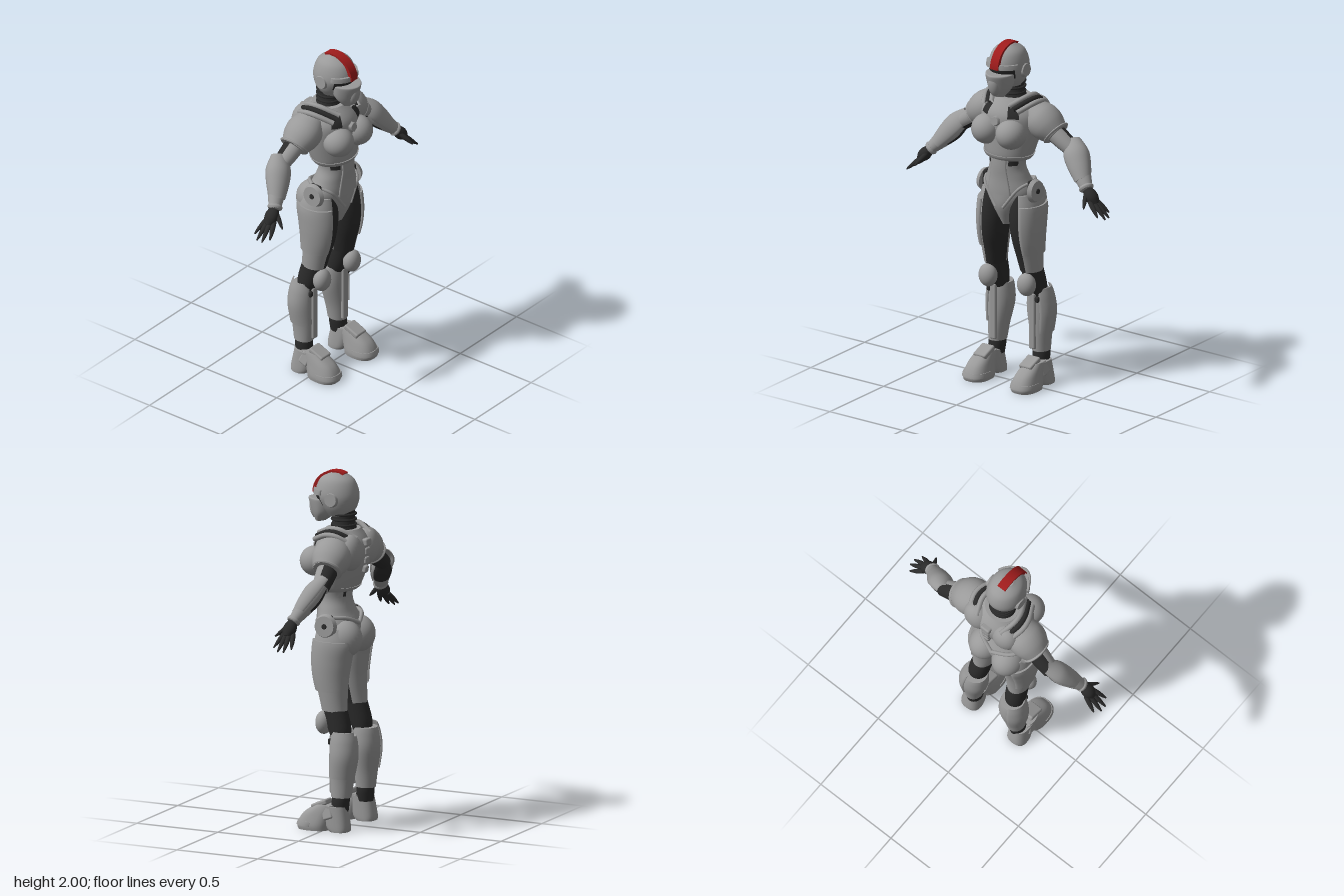
import * as THREE from 'three';
import { RoundedBoxGeometry } from 'three/addons/geometries/RoundedBoxGeometry.js';

const mat = (name, hex) => Object.assign(new THREE.MeshStandardMaterial({ color: hex }), { name });
const grey = mat('armour grey', 0x9a9a9a);
const dark = mat('undersuit black', 0x2b2b2b);
const red = mat('crest red', 0xa01c1c);
const V = (a) => new THREE.Vector3(...a);

function part(name, geometry, material, p = [0, 0, 0], rot = [0, 0, 0]) {
  const m = new THREE.Mesh(geometry, material);
  m.name = name;
  m.position.set(...p);
  m.rotation.set(...rot);
  return m;
}

// Smooth body through horizontal sections [y, zFront, zBack, halfWidth], rising.
// x: centre line as a rule of y; range and grow: cut a height band and swell it;
// arc: curved plate with thickness; paint(angle, y, angleFromFront): true is black.
function loft(name, rows, { x = () => 0, range, grow = 0, arc, paint, base = grey, pow = 1 } = {}) {
  const N = 32, H = N / 2, STEP = 6, pos = [], bins = [[], []];
  const at = (i) => rows[Math.max(0, Math.min(rows.length - 1, i))];
  let rings = [];
  for (let s = 0; s <= (rows.length - 1) * STEP; s++) {
    const i = Math.min(Math.floor(s / STEP), rows.length - 2), t = s / STEP - i;
    rings.push(at(i).map((b, k) => {
      const a = at(i - 1)[k], c = at(i + 1)[k], d = at(i + 2)[k];
      return b + 0.5 * t * (c - a + t * (2 * a - 5 * b + 4 * c - d + t * (3 * (b - c) + d - a)));
    }));
  }
  if (range) rings = rings.filter(([y]) => y > range[0] && y < range[1]);
  const angle = (j) => {
    if (!arc) return j / N * 360;
    return arc[0] + (arc[1] - arc[0]) * (j < H ? j : N - 1 - j) / (H - 1);
  };
  const bend = (v) => Math.sign(v) * Math.abs(v) ** pow;
  const addRing = ([y, zf, zb, w]) => {
    for (let j = 0; j < N; j++) {
      const a = THREE.MathUtils.degToRad(angle(j)), k = arc && j >= H ? 0.9 : 1;
      pos.push(x(y) + (w + grow) * k * bend(Math.cos(a)), y, (zf + zb) / 2 + ((zf - zb) / 2 + grow) * k * bend(Math.sin(a)));
    }
  };
  rings.forEach(addRing);
  for (let i = 0; i < rings.length - 1; i++) for (let j = 0; j < N; j++) {
    const a = i * N + j, b = i * N + (j + 1) % N, deg = angle(j + 0.5);
    const black = paint && paint(deg, rings[i][0], Math.abs((deg + 90) % 360 - 180));
    bins[black ? 1 : 0].push(a, a + N, b, b, a + N, b + N);
  }
  // end caps
  [rings[0], rings[rings.length - 1]].forEach((r, top) => {
    const o = pos.length / 3;
    addRing(r);
    for (let k = 0; k < H - 1; k++) {
      const q = [o + k, o + k + 1, o + N - 2 - k, o + N - 1 - k];
      if (top) q.reverse();
      bins[0].push(q[0], q[1], q[2], q[0], q[2], q[3]);
    }
  });
  const g = new THREE.BufferGeometry();
  g.setAttribute('position', new THREE.Float32BufferAttribute(pos, 3));
  g.setIndex(bins.flat());
  g.computeVertexNormals();
  g.addGroup(0, bins[0].length, 0);
  g.addGroup(bins[0].length, bins[1].length, 1);
  return part(name, g, paint ? [base, dark] : base);
}

// Limb from A to B with evenly spaced radii
function limb(name, A, B, radii, opts) {
  const d = V(B).sub(V(A)), len = d.length(), n = radii.length - 1;
  const m = loft(name, radii.map((r, i) => [i / n * len, r * 1.1, -r * 1.1, r]), opts);
  m.position.copy(V(A));
  m.quaternion.setFromUnitVectors(V([0, 1, 0]), d.normalize());
  return m;
}
const ball = (name, p, r, rot) => part(name, new THREE.SphereGeometry(1, 28, 20).scale(...r), grey, p, rot);
const tube = (name, pts, r, material) =>
  part(name, new THREE.TubeGeometry(new THREE.CatmullRomCurve3(pts.map(V)), 24, r, 8), material);
const box = (name, size, material, p, rot) => part(name, new RoundedBoxGeometry(...size, 3, 0.01), material, p, rot);
const disc = (name, r, h, material, p) =>
  part(name, new THREE.CylinderGeometry(r * 0.85, r, h, 32), material, p, [0, 0, -1.5]);

// Right-hand copy with baked reflection
function mirrored(m) {
  m.updateMatrix();
  const g = m.geometry.clone().applyMatrix4(m.matrix).scale(-1, 1, 1), idx = [...g.index.array];
  for (let i = 0; i < idx.length; i += 3) [idx[i], idx[i + 1]] = [idx[i + 1], idx[i]];
  g.setIndex(idx);
  return part(m.name.replace('left', 'right'), g, m.material);
}

function head(add) {
  const helmet = [[1.75, 0.06, -0.065, 0.065], [1.8, 0.1, -0.1, 0.095], [1.87, 0.136, -0.114, 0.108],
    [1.95, 0.11, -0.085, 0.085], [1.99, 0.05, -0.02, 0.035]];
  add(loft('helmet', helmet, { paint: (a, y, s) => y > 1.81 && y < 1.868 && s < 55 }));
  add(loft('brow', helmet, { range: [1.86, 1.91], grow: 0.013, arc: [25, 155] }));
  add(loft('faceMask', [[1.71, 0.142, 0.085, 0.042], [1.76, 0.163, 0.02, 0.073], [1.83, 0.184, 0, 0.084], [1.842, 0.178, 0.01, 0.078]], { pow: 1.15 }));
  add(ball('maskRidge', [0, 1.775, 0.15], [0.036, 0.062, 0.028], [0.2, 0, 0]));
  // crest arches from brow to crown
  const arch = new THREE.Shape().absellipse(0.017, 1.87, 0.136, 0.13, 0, 2, false).absellipse(0.017, 1.87, 0.1, 0.1, 2, 0, true);
  const crest = new THREE.ExtrudeGeometry(arch, { depth: 0.054, bevelEnabled: false, curveSegments: 16 });
  add(part('crest', crest.rotateY(-Math.PI / 2), red, [0.027, 0, 0]));
  add(loft('neck', [[1.63, 0.06, -0.11, 0.1], [1.72, 0.035, -0.09, 0.064], [1.8, 0.03, -0.09, 0.06]], { base: dark }));
  for (let i = 0; i < 3; i++) {
    add(part('neckRing', new THREE.TorusGeometry(0.066, 0.007, 8, 32), dark, [0, 1.7 + i * 0.03, -0.028], [Math.PI / 2, 0, 0]));
  }
}

function torso(add) {
  const waist = [[0.935, 0.06, -0.04, 0.028], [1.04, 0.105, -0.11, 0.095], [1.13, 0.112, -0.125, 0.158],
    [1.22, 0.112, -0.085, 0.128], [1.3, 0.115, -0.068, 0.105], [1.42, 0.11, -0.09, 0.13]];
  const chest = [[1.335, 0.118, -0.09, 0.134], [1.37, 0.13, -0.12, 0.15], [1.5, 0.132, -0.165, 0.178],
    [1.6, 0.128, -0.17, 0.172], [1.68, 0.07, -0.12, 0.1]];
  add(loft('waist', waist, { paint: (a, y, s) => y > 1.29 && y < 1.335 && ((s > 35 && s < 65) || (s > 145 && s < 162)) }));
  add(loft('abdomenPlate', waist, { range: [1.12, 1.37], grow: 0.006, arc: [62, 118] }));
  add(loft('chest', chest, { paint: (a, y, s) => y > 1.58 && y < 1.645 && ((s > 25 && s < 45) || (s > 125 && s < 148)) }));
  add(loft('chestRim', chest, { range: [1.33, 1.365], grow: 0.006 }));
  add(part('chestStud', new THREE.CylinderGeometry(0.026, 0.034, 0.03, 6), grey, [0, 1.565, 0.135], [1.45, 0, 0]));
  for (let i = 0; i < 4; i++) {
    add(box('spinePlate', [0.06 - i * 0.007, 0.042, 0.05], grey, [0, 1.61 - i * 0.05, -0.162 + i * 0.004], [0.1 - i * 0.1, 0, 0]));
  }
}

// Paired armour of the trunk and head
function leftTrunk(add) {
  add(disc('leftEarDisc', 0.042, 0.02, grey, [0.105, 1.85, 0]));
  add(ball('leftBreastplate', [0.084, 1.495, 0.105], [0.086, 0.085, 0.088]));
  add(ball('leftShoulderBlade', [0.1, 1.565, -0.115], [0.085, 0.105, 0.072], [0, 0, -0.2]));
  add(ball('leftButtock', [0.08, 1.07, -0.068], [0.092, 0.108, 0.107]));
  // collar bands step outward, the middle one black
  for (let i = 0; i < 3; i++) {
    const band = [[0.06, 1.65, 0.095], [0.108, 1.69, 0], [0.115, 1.69, -0.06], [0.085, 1.645, -0.15]];
    add(tube('leftCollarBand', band.map(([x, y, z]) => [x + i * 0.027, y - i * 0.013, z]), 0.015, i === 1 ? dark : grey));
  }
  add(tube('leftBeltLine', [[0.145, 1.195, 0.02], [0.115, 1.17, 0.078], [0.025, 1.05, 0.104]], 0.009, grey));
  add(tube('leftRearBelt', [[0.145, 1.195, -0.03], [0.1, 1.19, -0.085], [0, 1.15, -0.125]], 0.012, grey));
  add(box('leftHipStrap', [0.03, 0.12, 0.07], dark, [0.155, 1.15, 0]));
  add(disc('leftHipDisc', 0.068, 0.024, grey, [0.177, 1.15, 0]));
  add(disc('leftHipDiscCentre', 0.016, 0.008, dark, [0.19, 1.151, 0]));
}

function leftArm(add) {
  const shoulder = [0.12, 1.605, -0.045], padEnd = [0.275, 1.49, -0.06], elbow = [0.385, 1.41, -0.075], wrist = [0.54, 1.245, 0.017];
  add(limb('leftShoulderPad', shoulder, padEnd, [0.072, 0.097, 0.095, 0.07]));
  add(limb('leftPadRim', [0.262, 1.5, -0.06], padEnd, [0.074, 0.081, 0.074]));
  add(limb('leftUpperArm', [0.25, 1.505, -0.06], elbow, [0.055, 0.051, 0.043], { paint: (a) => a < 40 || a > 165 }));
  add(limb('leftForearm', [0.365, 1.432, -0.08], wrist, [0.036, 0.055, 0.046, 0.03], { paint: (a, y) => y < 0.16 && (a < 75 || a > 310) }));
  add(limb('leftElbowGuard', [0.355, 1.46, -0.1], [0.5, 1.28, 0], [0.04, 0.066, 0.06, 0.042], { arc: [115, 285] }));
  add(limb('leftWristCuff', [0.525, 1.26, 0.01], wrist, [0.034, 0.039, 0.034]));
  // hand with four spread fingers and a thumb
  add(limb('leftPalm', wrist, [0.605, 1.175, 0.022], [0.024, 0.034, 0.033, 0.018], { base: dark }));
  const finger = (a, b) => add(limb('leftFinger', a, b, [0.012, 0.0125, 0.01, 0.004], { base: dark }));
  for (let i = 0; i < 4; i++) {
    const mid = Math.sin(i * Math.PI / 3);
    finger([0.58 + mid * 0.01, 1.19, -0.008 + i * 0.018], [0.655 + mid * 0.03, 1.12 - mid * 0.019, -0.033 + i * 0.036]);
  }
  finger([0.545, 1.225, 0.035], [0.58, 1.165, 0.104]);
}

function leftLeg(add) {
  const x = (y) => 0.16 - y * 0.055, bootX = () => 0.164;
  const thigh = [[0.67, 0.04, -0.108, 0.059], [0.75, 0.06, -0.105, 0.07], [0.85, 0.088, -0.11, 0.082],
    [0.95, 0.1, -0.125, 0.091], [1.05, 0.095, -0.14, 0.093], [1.13, 0.08, -0.11, 0.075]];
  const shin = [[0.19, -0.03, -0.145, 0.05], [0.28, -0.026, -0.158, 0.059], [0.41, -0.026, -0.178, 0.08],
    [0.5, -0.028, -0.172, 0.074], [0.56, -0.035, -0.155, 0.06]];
  const toe = [[0, 0.16, -0.025, 0.073], [0.03, 0.165, -0.03, 0.075], [0.09, 0.13, -0.05, 0.062], [0.145, 0.05, -0.08, 0.048]];
  add(loft('leftThigh', thigh, { x, paint: (a, y) => a > 82 && a < 190 }));
  add(loft('leftThighPlate', thigh, { x, range: [0.77, 1.08], grow: 0.011, arc: [-62, 74] }));
  add(loft('leftKnee', [[0.5, -0.035, -0.13, 0.055], [0.58, 0.005, -0.132, 0.058], [0.7, 0.035, -0.1, 0.058]], { x, base: dark }));
  add(ball('leftKneecap', [0.132, 0.598, 0.028], [0.056, 0.066, 0.047]));
  add(loft('leftShin', shin, { x, range: [0.18, 0.545] }));
  add(loft('leftCalfPlate', shin, { x, range: [0.28, 0.57], grow: 0.009, arc: [-75, 60] }));
  add(box('leftShinRidge', [0.042, 0.33, 0.024], grey, [0.134, 0.37, -0.026]));
  add(box('leftShinGap', [0.026, 0.035, 0.022], dark, [0.165, 0.5, -0.026]));
  add(loft('leftAnkle', [[0.11, -0.03, -0.13, 0.045], [0.17, -0.035, -0.135, 0.05], [0.21, -0.04, -0.135, 0.046]], { x, base: dark }));
  // boot
  add(loft('leftBootToe', toe, { x: bootX, pow: 0.8 }));
  add(loft('leftToeBand', toe, { x: bootX, pow: 0.8, range: [0.02, 0.055], grow: 0.004, arc: [0, 180] }));
  add(loft('leftBootHeel', [[0, -0.035, -0.142, 0.06], [0.03, -0.01, -0.145, 0.06], [0.14, 0.02, -0.125, 0.052]], { x: bootX, pow: 0.8 }));
  add(box('leftInstepPlate', [0.085, 0.03, 0.1], grey, [0.157, 0.143, 0.03], [0.4, 0, 0]));
  add(box('leftAnkleGuard', [0.022, 0.075, 0.06], grey, [0.21, 0.105, -0.03], [0.35, 0, 0.25]));
}

export function createModel() {
  const model = new THREE.Group();
  model.name = 'armouredFigure';
  const build = (name, fill, paired) => {
    const g = new THREE.Group();
    g.name = name;
    fill((m) => {
      g.add(m);
      if (paired) {
        // rounded boxes carry no index
        if (!m.geometry.index) m.geometry.setIndex([...Array(m.geometry.attributes.position.count).keys()]);
        g.add(mirrored(m));
      }
    });
    model.add(g);
  };
  build('head', head);
  build('torso', torso);
  build('trunkArmour', leftTrunk, true);
  build('arms', leftArm, true);
  build('legs', leftLeg, true);
  return model;
}
